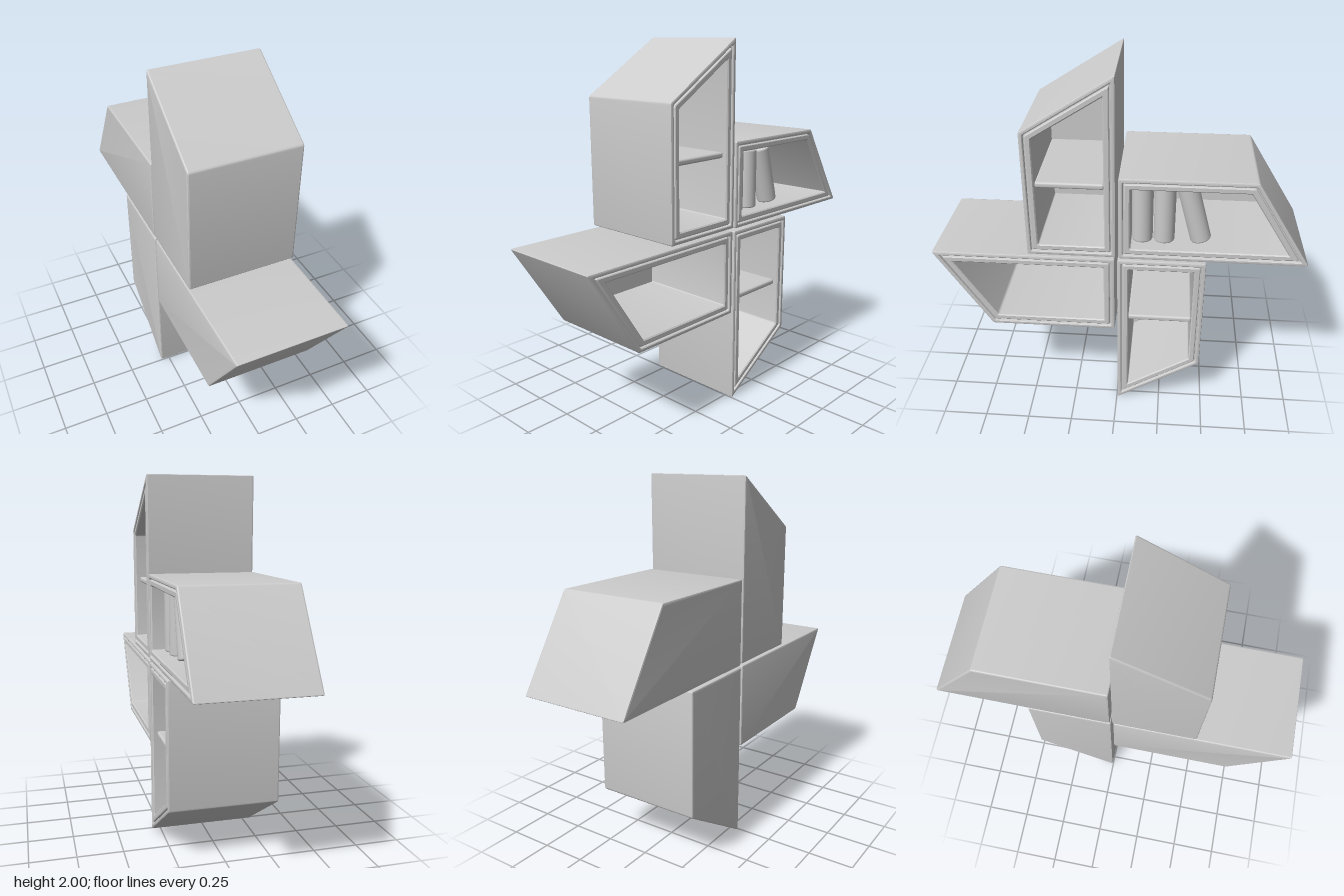
import * as THREE from 'three';
import { toCreasedNormals } from 'three/addons/utils/BufferGeometryUtils.js';
import { RoundedBoxGeometry } from 'three/addons/geometries/RoundedBoxGeometry.js';

// Outline of one cubby, counter-clockwise, pivoting about the centre of the pinwheel
const OUTLINE = [[-0.475, 0.01], [-0.004, 0.01], [-0.004, 1.003], [-0.475, 0.705]]
  .map(([x, y]) => new THREE.Vector2(x, y));

// Cubby section from the outer back edge, over the grooved front rim, to the inner back: [inset, depth]
const SECTION = [
  [0.008, -0.3], [0.002, -0.298], [0, -0.292], [0, 0.292], [0.002, 0.298], [0.008, 0.3],
  [0.017, 0.3], [0.021, 0.297], [0.023, 0.285], [0.028, 0.285], [0.03, 0.295], [0.034, 0.298],
  [0.054, 0.298], [0.06, 0.292], [0.06, -0.27],
];

// Outline moved inwards by d, with small rounded corners
function insetRing(d) {
  const n = OUTLINE.length;
  const dirs = OUTLINE.map((p, i) => OUTLINE[(i + 1) % n].clone().sub(p).normalize());
  const ring = [];
  OUTLINE.forEach((p, i) => {
    const before = dirs[(i + n - 1) % n], after = dirs[i];
    const k = d / before.cross(after);
    const corner = p.clone().addScaledVector(after, k).addScaledVector(before, -k);
    const cut = 0.01;
    const curve = new THREE.QuadraticBezierCurve(
      corner.clone().addScaledVector(before, -cut), corner, corner.clone().addScaledVector(after, cut));
    ring.push(...curve.getPoints(4));
  });
  return ring;
}

// Loft the rings into a closed, hollow box open at the front
function cubbyGeometry() {
  const positions = [], index = [];
  const rings = SECTION.map(([d, z]) => insetRing(d).map((p) => [p.x, p.y, z]));
  const n = rings[0].length;
  rings.forEach((r) => r.forEach((p) => positions.push(...p)));
  for (let j = 0; j < rings.length - 1; j++) {
    for (let i = 0; i < n; i++) {
      const a = j * n + i, b = j * n + (i + 1) % n;
      index.push(a, b, b + n, a, b + n, a + n);
    }
  }
  const last = (rings.length - 1) * n;
  for (let i = 1; i < n - 1; i++) {
    index.push(0, i + 1, i);
    index.push(last, last + i, last + i + 1);
  }
  const geometry = new THREE.BufferGeometry();
  geometry.setAttribute('position', new THREE.Float32BufferAttribute(positions, 3));
  geometry.setIndex(index);
  return toCreasedNormals(geometry, 0.3);
}

// Upright roll with softened rims
function rollGeometry(radius, height) {
  const h = height / 2, b = 0.008;
  const profile = [[0, -h], [radius - b, -h], [radius - b * 0.3, -h + b * 0.3], [radius, -h + b],
    [radius, h - b], [radius - b * 0.3, h - b * 0.3], [radius - b, h], [0, h]]
    .map(([x, y]) => new THREE.Vector2(x, y));
  return toCreasedNormals(new THREE.LatheGeometry(profile, 32), 0.35);
}

export function createModel() {
  const model = new THREE.Group();
  model.name = 'pinwheelShelf';
  const material = new THREE.MeshStandardMaterial({ color: 0xcccccc });

  // Built facing +z about the pinwheel centre, then turned so the openings face +x
  const shelfUnit = new THREE.Group();
  shelfUnit.name = 'shelfUnit';
  shelfUnit.position.y = 1;
  shelfUnit.rotation.y = Math.PI / 2;
  model.add(shelfUnit);

  const add = (parent, name, geometry, x = 0, y = 0, z = 0) => {
    const mesh = new THREE.Mesh(geometry, material);
    mesh.name = name;
    mesh.position.set(x, y, z);
    parent.add(mesh);
    return mesh;
  };

  // Four cubbies turned about the centre; the two upright ones hold a shelf board
  const box = cubbyGeometry();
  const board = new RoundedBoxGeometry(0.354, 0.032, 0.545, 3, 0.012);
  ['upperCubby', 'backCubby', 'lowerCubby', 'frontCubby'].forEach((name, i) => {
    const cubby = new THREE.Group();
    cubby.name = name;
    cubby.rotation.z = -i * Math.PI / 2;
    add(cubby, 'cubbyBox', box);
    if (i % 2 === 0) add(cubby, 'shelfBoard', board, -0.24, 0.41, 0);
    shelfUnit.add(cubby);
  });

  // Three rolls standing in the back cubby, the last one leaning
  const roll = rollGeometry(0.056, 0.33);
  [[0.13, 0.233, 0], [0.247, 0.233, 0], [0.4, 0.238, 0.26]].forEach(([x, y, lean]) => {
    add(shelfUnit, 'roll', roll, x, y, 0.18).rotation.z = lean;
  });

  return model;
}
